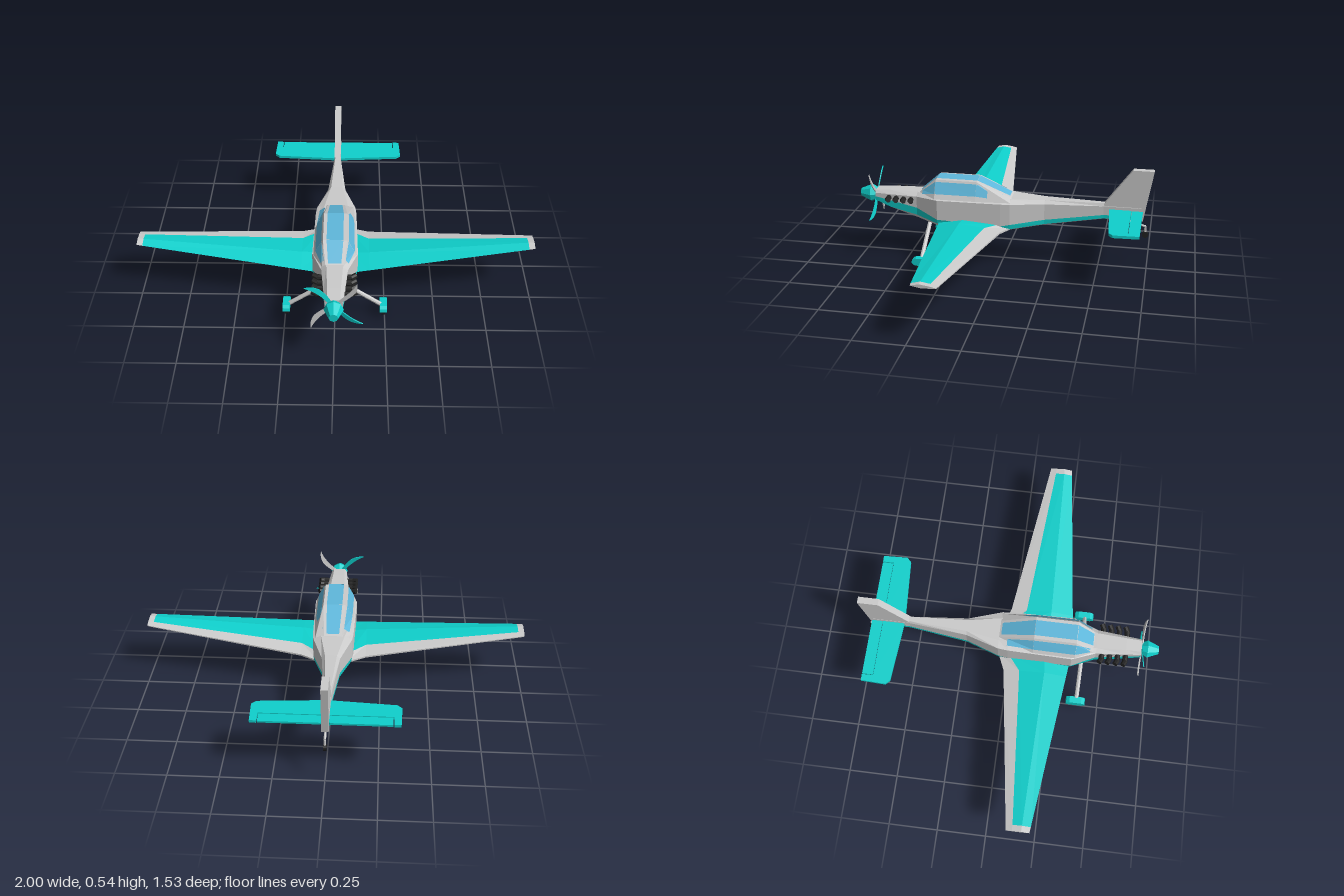
import * as THREE from 'three';

const make = (color, double) => new THREE.MeshStandardMaterial({
  color, flatShading: true, side: double ? THREE.DoubleSide : THREE.FrontSide });
const GRAY = make(0xcccccc), TEAL = make(0x0fd0cc), BLACK = make(0x222222), GLASS = make(0x5fb8dc, true);

function add(parent, name, geometry, material) {
  const mesh = new THREE.Mesh(geometry, material);
  mesh.name = name;
  parent.add(mesh);
  return mesh;
}

function fromTriangles(positions) {
  const g = new THREE.BufferGeometry();
  g.setAttribute('position', new THREE.Float32BufferAttribute(positions, 3));
  g.computeVertexNormals();
  return g;
}

// Skin over rings of points; only the listed bands are filled. side = -1 mirrors in x.
function loft(rings, bands, { side = 1, startCap = false, endCap = false } = {}) {
  const out = [];
  const tri = (a, b, c) => {
    for (const p of side > 0 ? [a, b, c] : [a, c, b]) out.push(p[0] * side, p[1], p[2]);
  };
  const n = rings[0].length;
  for (let i = 0; i < rings.length - 1; i++) {
    for (const j of bands) {
      const k = (j + 1) % n, a = rings[i], b = rings[i + 1];
      tri(a[j], a[k], b[k]);
      tri(a[j], b[k], b[j]);
    }
  }
  const first = rings[0], last = rings[rings.length - 1];
  for (let j = 1; j < n - 1; j++) {
    if (startCap) tri(first[0], first[j + 1], first[j]);
    if (endCap) tri(last[0], last[j], last[j + 1]);
  }
  return fromTriangles(out);
}

// Plate with a (z, y) outline, centred on x
function sidePlate(points, thickness, x = 0) {
  const shape = new THREE.Shape(points.map(p => new THREE.Vector2(...p)));
  return new THREE.ExtrudeGeometry(shape, { depth: thickness, bevelEnabled: false })
    .translate(0, 0, -thickness / 2).rotateY(-Math.PI / 2).translate(x, 0, 0);
}

// Plate with an (x, z) outline, centred on height y
function flatPlate(points, thickness, y) {
  const shape = new THREE.Shape(points.map(p => new THREE.Vector2(...p)));
  return new THREE.ExtrudeGeometry(shape, { depth: thickness, bevelEnabled: false })
    .translate(0, 0, -thickness / 2).rotateX(Math.PI / 2).translate(0, y, 0);
}

// Straight rod between two points
function rod(a, b, r0, r1 = r0, sides = 8) {
  const from = new THREE.Vector3(...a), to = new THREE.Vector3(...b), d = to.clone().sub(from);
  const g = new THREE.CylinderGeometry(r1, r0, d.length(), sides);
  g.applyQuaternion(new THREE.Quaternion().setFromUnitVectors(new THREE.Vector3(0, 1, 0), d.normalize()));
  return g.translate(...from.add(to).multiplyScalar(0.5).toArray());
}

function buildFuselage(plane) {
  // z, top half width, top y, half width, shoulder y, stripe top y, stripe bottom y, keel half width, keel y
  const sections = [
    [0.68, 0.03, 0.35, 0.042, 0.335, 0.315, 0.295, 0.025, 0.288],
    [0.6, 0.032, 0.354, 0.05, 0.335, 0.302, 0.265, 0.03, 0.258],
    [0.45, 0.04, 0.356, 0.064, 0.337, 0.275, 0.235, 0.045, 0.215],
    [0.33, 0.07, 0.356, 0.112, 0.34, 0.235, 0.212, 0.08, 0.19],
    [0, 0.07, 0.356, 0.105, 0.34, 0.22, 0.2, 0.08, 0.19],
    [-0.05, 0.06, 0.356, 0.1, 0.34, 0.23, 0.205, 0.075, 0.195],
    [-0.22, 0.03, 0.352, 0.046, 0.335, 0.25, 0.226, 0.035, 0.22],
    [-0.52, 0.012, 0.35, 0.018, 0.335, 0.288, 0.27, 0.012, 0.266],
    [-0.71, 0.01, 0.35, 0.018, 0.335, 0.29, 0.27, 0.012, 0.266],
  ];
  const rings = sections.map(([z, wt, yt, w, ys, sa, sb, wk, yk]) => {
    const half = [[wt, yt, z], [w, ys, z], [w, sa, z], [w * 0.96, sb, z], [wk, yk, z]];
    return [...half, ...half.map(([x, y]) => [-x, y, z]).reverse()];
  });
  add(plane, 'fuselage', loft(rings, [0, 1, 3, 4, 5, 7, 8, 9], { startCap: true, endCap: true }), GRAY);
  add(plane, 'fuselageStripe', loft(rings, [2, 6]), TEAL);
}

function buildCanopy(plane) {
  const rings = [
    [0.435, 0.045, 0.357, 0.062, 0.345], [0.345, 0.058, 0.436, 0.106, 0.345],
    [0.13, 0.058, 0.436, 0.104, 0.345], [-0.05, 0.045, 0.358, 0.09, 0.345],
  ].map(([z, wt, yt, wb, yb]) => [[wt, yt, z], [wb, yb, z], [-wb, yb, z], [-wt, yt, z]]);
  add(plane, 'canopyFrame', loft(rings, [0, 1, 2, 3]), GRAY);

  // Glass panes lie just above the frame faces, inset by u (around) and v (along)
  const pane = (i, j, u0, u1, v0, v1) => {
    const V = p => new THREE.Vector3(...p), k = (j + 1) % 4;
    const at = (u, v) => V(rings[i][j]).lerp(V(rings[i][k]), u)
      .lerp(V(rings[i + 1][j]).lerp(V(rings[i + 1][k]), u), v);
    const q = [at(u0, v0), at(u1, v0), at(u1, v1), at(u0, v1)];
    const n = q[2].clone().sub(q[0]).cross(q[3].clone().sub(q[1])).normalize().multiplyScalar(0.003);
    q.forEach(p => p.add(n));
    add(plane, 'canopyGlass', fromTriangles([0, 1, 2, 0, 2, 3].flatMap(m => q[m].toArray())), GLASS);
  };
  const spans = [[0.2, 1], [0, 1], [0, 0.75]];
  spans.forEach(([v0, v1], i) => {
    pane(i, 0, 0.12, 0.74, v0, v1);
    pane(i, 2, 0.26, 0.88, v0, v1);
    pane(i, 3, 0.15, 0.85, i === 0 ? 0.06 : 0, i === 2 ? 0.94 : 1);
  });
}

function buildWing(plane, side) {
  // x, leading z, flap line z, trailing z, leading y, half thickness
  const ring = ([x, le, flap, te, y, t]) => [
    [x, y - t * 0.4, te], [x, y + t * 0.35, flap], [x, y + t, le * 0.65 + te * 0.35],
    [x, y, le], [x, y - t, le * 0.6 + te * 0.4], [x, y - t * 0.8, te]];
  const root = [0.08, 0.325, 0.0, -0.05, 0.216, 0.024];
  const flapStart = [0.17, 0.315, 0.07, -0.012, 0.224, 0.023];
  const tip = [0.97, 0.224, 0.135, 0.101, 0.293, 0.011];
  const end = [1, 0.22, 0.135, 0.105, 0.296, 0.009];
  const main = [root, flapStart, tip].map(ring);
  add(plane, 'wing', loft(main, [1, 2, 3, 4], { side, startCap: true }), TEAL);
  add(plane, 'flap', loft(main, [0, 5], { side }), GRAY);
  add(plane, 'wingTip', loft([tip, end].map(ring), [0, 1, 2, 3, 4, 5], { side, endCap: true }), GRAY);
}

function buildTail(plane) {
  add(plane, 'fin', sidePlate([[-0.52, 0.345], [-0.66, 0.535], [-0.765, 0.535], [-0.72, 0.268], [-0.56, 0.268]], 0.034), GRAY);
  for (const s of [1, -1]) {
    const flip = pts => pts.map(([x, z]) => [x * s, z]);
    add(plane, 'tailplane', flatPlate(flip([[0, -0.547], [0.33, -0.57], [0.353, -0.592],
      [0.348, -0.718], [0.315, -0.718], [0.315, -0.66], [0, -0.66]]), 0.014, 0.314), TEAL);
    add(plane, 'elevator', flatPlate(flip([[0.012, -0.663], [0.311, -0.663], [0.311, -0.718], [0.02, -0.718]]), 0.01, 0.314), TEAL);
  }
  // Tail wheel on a bent spring
  const path = [[0, 0.268, -0.6], [0, 0.25, -0.67], [0, 0.235, -0.735], [0, 0.19, -0.735]];
  for (let i = 0; i < 3; i++) add(plane, 'tailSpring', rod(path[i], path[i + 1], 0.006), GRAY);
  add(plane, 'tailWheel', rod([-0.008, 0.19, -0.735], [0.008, 0.19, -0.735], 0.016, 0.016, 12), BLACK);
}

function buildGear(plane, side) {
  add(plane, 'gearLeg', rod([0.03 * side, 0.205, 0.385], [0.235 * side, 0.06, 0.385], 0.011), GRAY);
  add(plane, 'wheelFairing', sidePlate([[0.33, 0.047], [0.345, 0.035], [0.415, 0.035], [0.432, 0.05],
    [0.427, 0.066], [0.412, 0.074], [0.35, 0.074], [0.333, 0.064]], 0.036, 0.243 * side), TEAL);
  add(plane, 'wheel', rod([0.235 * side, 0.034, 0.38], [0.251 * side, 0.034, 0.38], 0.034, 0.034, 16), BLACK);
}

function buildNose(plane) {
  const y = 0.32;
  add(plane, 'spinnerBack', rod([0, y, 0.675], [0, y, 0.71], 0.028, 0.047), TEAL);
  add(plane, 'spinner', rod([0, y, 0.71], [0, y, 0.768], 0.047, 0.022), TEAL);

  // Four curved blades in alternating colours
  const shape = new THREE.Shape();
  shape.moveTo(-0.007, 0.02);
  shape.quadraticCurveTo(0.006, 0.11, -0.022, 0.172);
  shape.quadraticCurveTo(0.012, 0.15, 0.02, 0.11);
  shape.quadraticCurveTo(0.022, 0.06, 0.007, 0.02);
  const blade = new THREE.ExtrudeGeometry(shape, { depth: 0.005, bevelEnabled: false, curveSegments: 6 })
    .translate(0, 0, -0.0025).rotateY(0.25);
  for (let i = 0; i < 4; i++) {
    const mesh = add(plane, 'propellerBlade', blade, i % 2 ? GRAY : TEAL);
    mesh.position.set(0, y, 0.683);
    mesh.rotation.z = Math.PI / 4 + i * Math.PI / 2;
  }

  // Exhaust stubs
  for (const s of [1, -1]) {
    for (const z of [0.603, 0.563, 0.522, 0.482]) {
      add(plane, 'exhaust', rod([0.04 * s, 0.317, z], [0.082 * s, 0.318, z - 0.002], 0.014), BLACK);
      add(plane, 'exhaustEnd', rod([0.08 * s, 0.318, z], [0.104 * s, 0.323, z - 0.012], 0.014), BLACK);
    }
  }
}

export function createModel() {
  const plane = new THREE.Group();
  plane.name = 'airplane';
  buildFuselage(plane);
  buildCanopy(plane);
  buildTail(plane);
  buildNose(plane);
  for (const side of [1, -1]) {
    buildWing(plane, side);
    buildGear(plane, side);
  }
  return plane;
}
